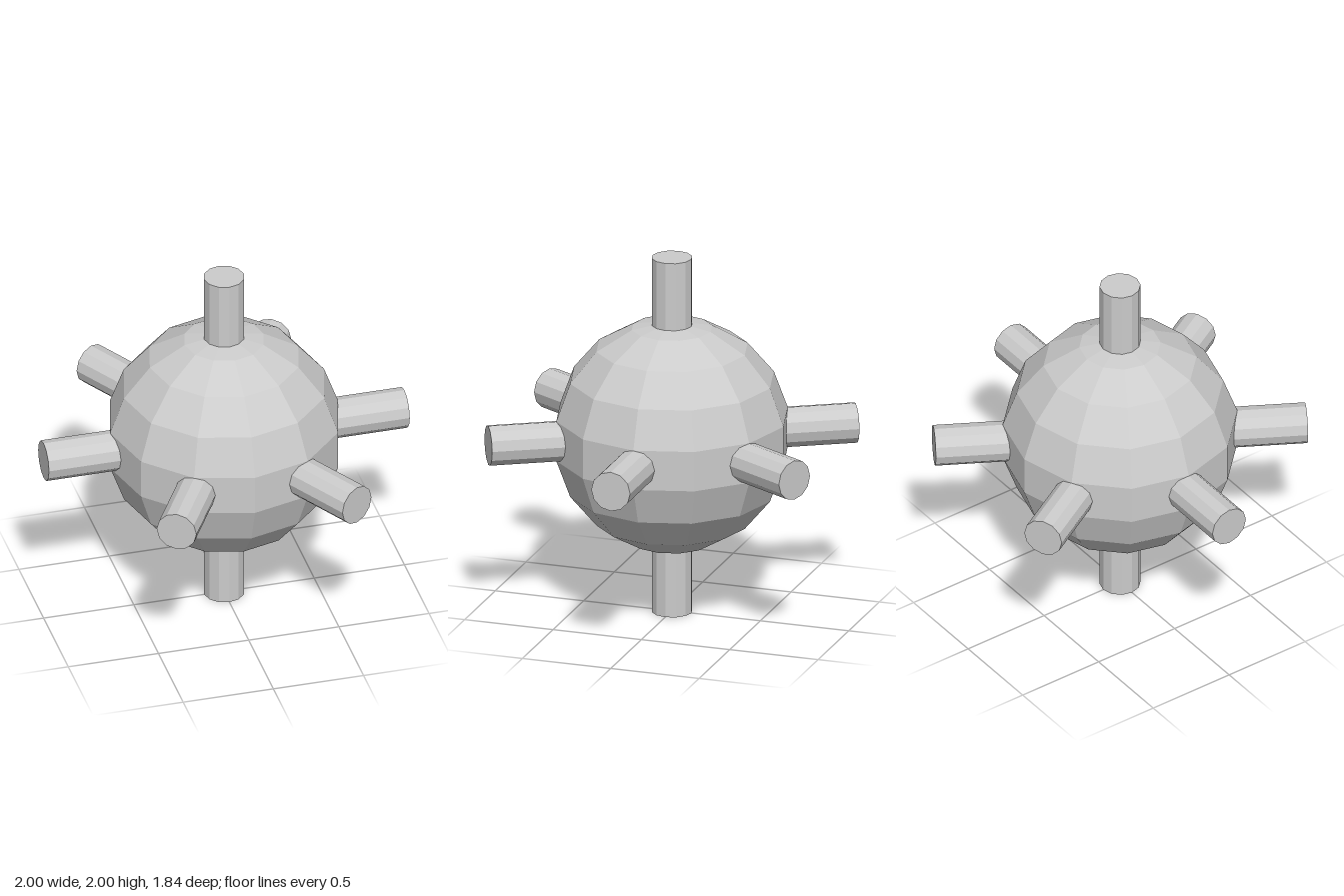
import * as THREE from 'three';

export function createModel() {
  const model = new THREE.Group();
  model.name = 'spikedBall';
  const material = new THREE.MeshStandardMaterial({ color: 0xcccccc, flatShading: true });

  // Faceted ball at the centre
  const ball = new THREE.Mesh(new THREE.SphereGeometry(0.64, 12, 9), material);
  ball.name = 'ball';
  ball.position.y = 1;
  model.add(ball);

  // Round peg reaching from inside the ball to one unit from its centre
  const inner = 0.5, outer = 1;
  const pegGeometry = new THREE.CylinderGeometry(0.11, 0.11, outer - inner, 12);
  pegGeometry.translate(0, (inner + outer) / 2, 0);

  function addPeg(name, rotateZ, rotateY = 0) {
    const peg = new THREE.Mesh(pegGeometry, material);
    peg.name = name;
    peg.position.y = 1;
    peg.rotation.set(0, rotateY, rotateZ, 'YXZ');
    model.add(peg);
  }

  // Upright pegs
  addPeg('topPeg', 0);
  addPeg('bottomPeg', Math.PI);

  // Six pegs around the equator
  for (let i = 0; i < 6; i++) addPeg(`sidePeg${i + 1}`, -Math.PI / 2, (i * Math.PI) / 3);

  return model;
}
